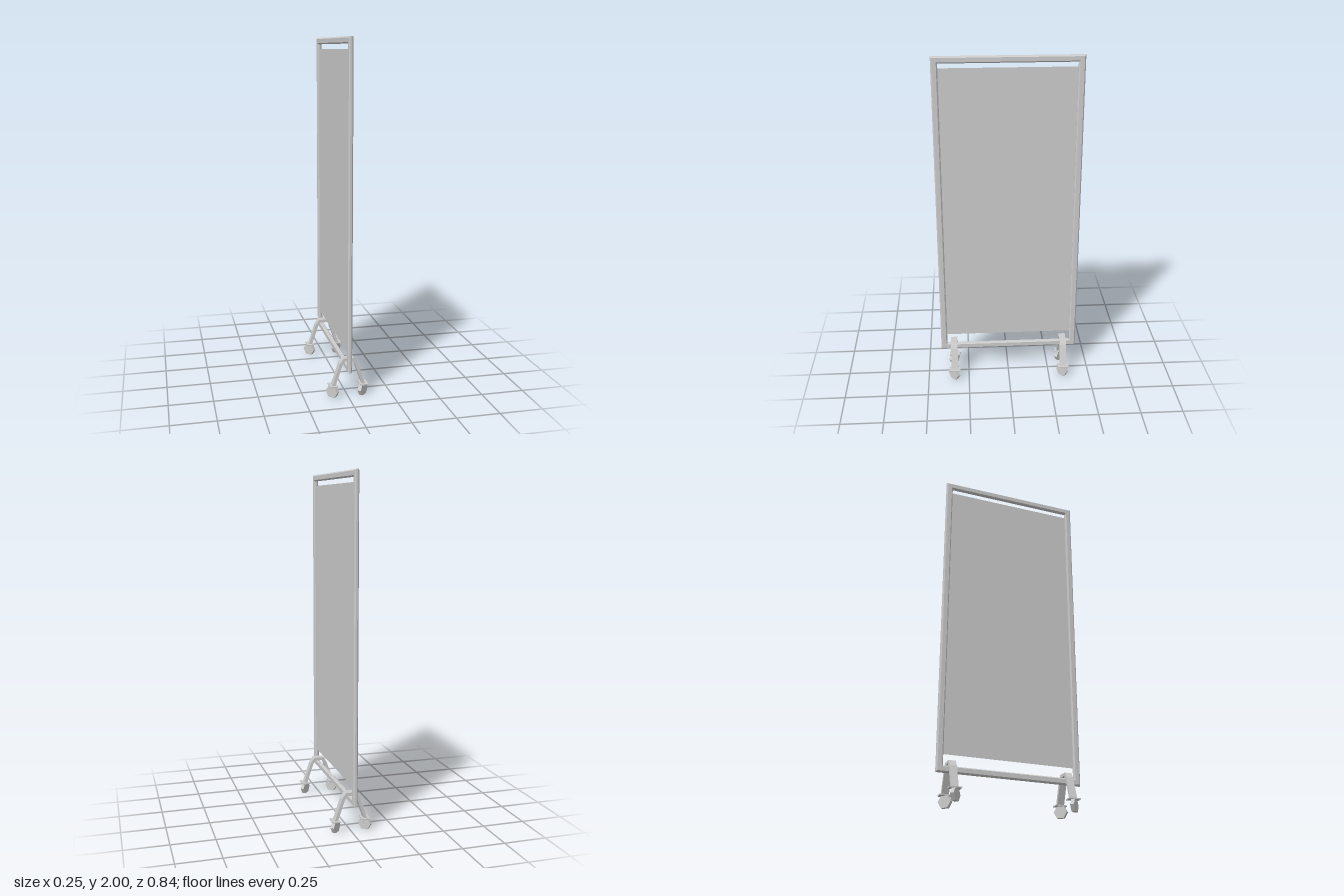
import * as THREE from 'three';

const material = new THREE.MeshStandardMaterial({ color: 0xcccccc, flatShading: true });
const thinMaterial = new THREE.MeshStandardMaterial({ color: 0xcccccc, side: THREE.DoubleSide });

function addMesh(parent, name, geometry, x = 0, y = 0, z = 0, mat = material) {
  const mesh = new THREE.Mesh(geometry, mat);
  mesh.name = name;
  mesh.position.set(x, y, z);
  parent.add(mesh);
  return mesh;
}

// Counter-clockwise rectangle, given by half width and lower and upper edges
const rectangle = (w, y0, y1) =>
  [[-w, y0], [w, y0], [w, y1], [-w, y1]].map(([x, y]) => new THREE.Vector2(x, y));

// Rectangular ring with chamfered edges, standing in the y-z plane
function frameGeometry() {
  const chamfer = 0.007, depth = 0.025, bar = 0.038;
  const shape = new THREE.Shape(rectangle(0.419 - chamfer, 0.165 + chamfer, 2 - chamfer));
  const inset = bar - chamfer;
  shape.holes.push(new THREE.Path(rectangle(0.419 - inset, 0.165 + inset, 2 - inset).reverse()));
  const core = depth - 2 * chamfer;
  const geometry = new THREE.ExtrudeGeometry(shape, {
    depth: core, bevelEnabled: true, bevelSegments: 1, bevelSize: chamfer, bevelThickness: chamfer,
  });
  return geometry.translate(0, 0, -core / 2).rotateY(Math.PI / 2);
}

// Bent flat bar straddling the bottom rail
function legGeometry() {
  const outer = [[0.097, 0.066], [0.052, 0.198], [0.03, 0.23]];
  const inner = [[0.021, 0.212], [0.036, 0.19], [0.079, 0.066]];
  const mirror = (points) => points.map(([x, y]) => [-x, y]).reverse();
  const outline = [...outer, ...mirror(outer), ...mirror(inner), ...inner];
  const shape = new THREE.Shape(outline.map(([x, y]) => new THREE.Vector2(x, y)));
  const width = 0.041;
  return new THREE.ExtrudeGeometry(shape, { depth: width, bevelEnabled: false })
    .translate(0, 0, -width / 2);
}

export function createModel() {
  const model = new THREE.Group();
  model.name = 'rollingScreen';

  addMesh(model, 'frame', frameGeometry(), -0.004, 0, -0.001);
  addMesh(model, 'panel', new THREE.PlaneGeometry(0.764, 1.67).rotateY(Math.PI / 2),
    -0.004, 1.1, -0.001, thinMaterial);

  const leg = legGeometry();
  const plate = new THREE.BoxGeometry(0.046, 0.007, 0.067);
  const stem = new THREE.CylinderGeometry(0.008, 0.008, 0.035, 6);
  // Six-sided wheel with its flats at top and bottom, axle along z
  const wheel = new THREE.CylinderGeometry(0.0385, 0.0385, 0.022, 6)
    .rotateX(Math.PI / 2).rotateZ(Math.PI / 2);

  for (const end of [-1, 1]) {
    const legAssembly = new THREE.Group();
    legAssembly.name = end > 0 ? 'frontLeg' : 'backLeg';
    legAssembly.position.set(0.003, 0, end * 0.337);
    model.add(legAssembly);
    addMesh(legAssembly, 'bentBar', leg);

    // A swivelled caster under each foot
    for (const side of [-1, 1]) {
      const caster = new THREE.Group();
      caster.name = side > 0 ? 'leftCaster' : 'rightCaster';
      caster.position.x = side * 0.088;
      legAssembly.add(caster);
      addMesh(caster, 'casterPlate', plate, 0, 0.068, 0);
      addMesh(caster, 'casterStem', stem, 0, 0.05, 0);
      addMesh(caster, 'wheel', wheel, -0.003, 0.0334, 0.003).rotation.y = side * Math.PI / 4;
    }
  }
  return model;
}
